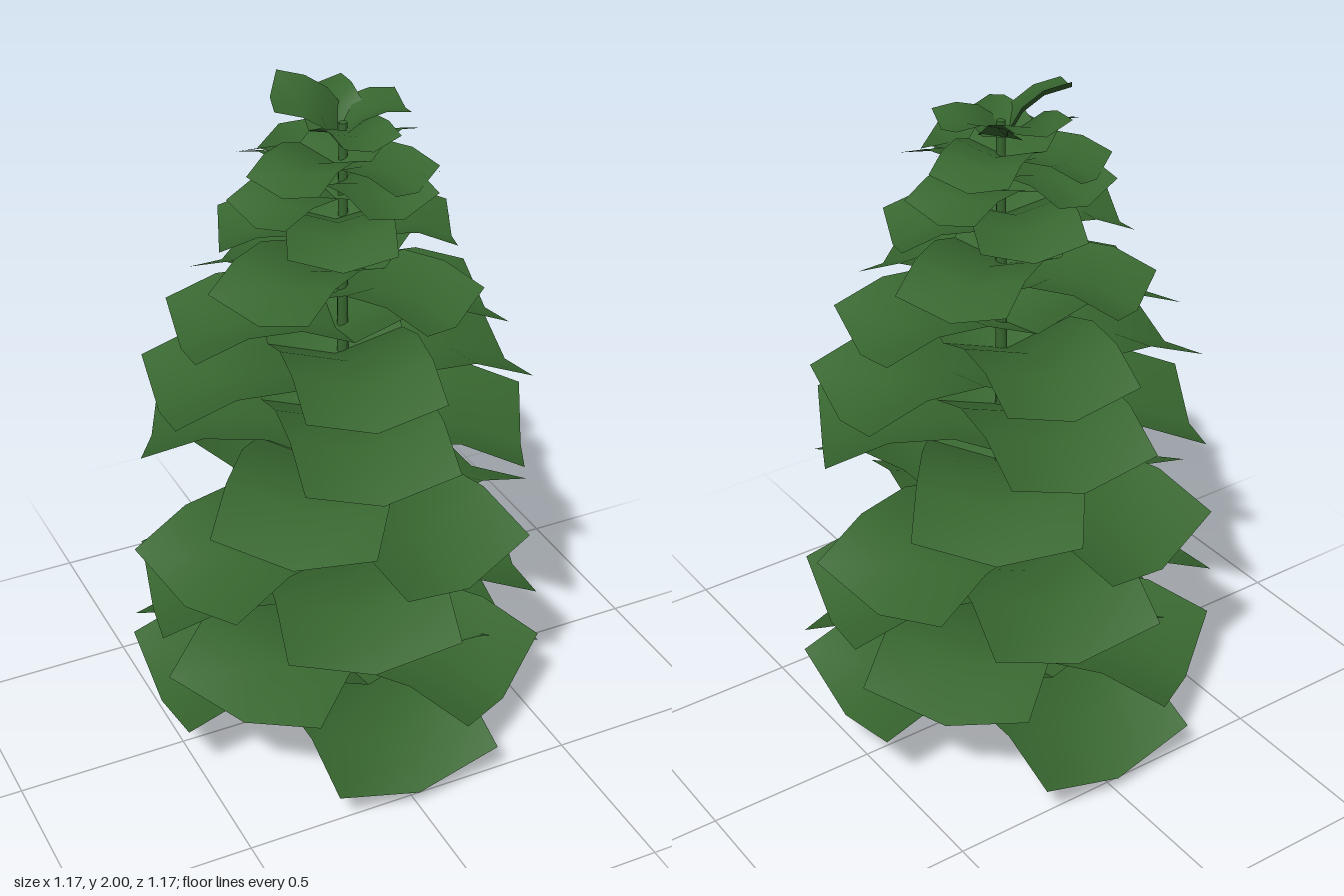
import * as THREE from 'three';

const foliage = new THREE.MeshStandardMaterial({ color: 0x37662f, side: THREE.DoubleSide });
foliage.name = 'pine green';

// One frond: arched along its length, with a shallow V across its width
function frondGeometry(length, width) {
  const geo = new THREE.PlaneGeometry(width, length, 2, 3);
  geo.rotateX(-Math.PI / 2);
  geo.translate(0, 0, length / 2);
  const pos = geo.attributes.position;
  const rise = length * 0.13;
  for (let i = 0; i < pos.count; i++) {
    const t = pos.getZ(i) / length;
    const arch = t > 0.1 && t < 0.9 ? rise : 0;
    const fold = Math.abs(pos.getX(i)) * 0.3;
    pos.setY(i, arch + fold);
  }
  geo.computeVertexNormals();
  return geo;
}

// Azimuth in degrees from +z towards +x; tilt lifts the tip, roll lifts one edge
function addFrond(parent, name, length, width, azimuth, at, tilt = 0, roll = 0) {
  const frond = new THREE.Mesh(frondGeometry(length, width), foliage);
  frond.name = name;
  const rad = THREE.MathUtils.degToRad;
  frond.rotation.set(-rad(tilt), rad(azimuth), rad(roll), 'YXZ');
  frond.position.set(...at);
  parent.add(frond);
}

export function createModel() {
  const tree = new THREE.Group();
  tree.name = 'coniferTree';

  // Trunk
  const trunk = new THREE.Mesh(new THREE.CylinderGeometry(0.012, 0.025, 1.88, 8), foliage);
  trunk.name = 'trunk';
  trunk.position.set(0.024, 0.94, -0.005);
  tree.add(trunk);

  // Whorls: azimuth and height of each of two crossing pairs, frond length and width
  const whorls = [
    [0, 0.05, 87, 0.15, 0.55, 0.5],
    [36, 0.2, -53, 0.3, 0.55, 0.48],
    [76, 0.41, -14, 0.5, 0.54, 0.48],
    [105, 0.6, 16, 0.7, 0.545, 0.46],
    [-38, 0.83, 62, 0.92, 0.52, 0.45],
    [-11, 1.02, 81, 1.1, 0.5, 0.42],
    [-11, 1.2, 80, 1.28, 0.43, 0.38],
    [33, 1.39, 122, 1.46, 0.37, 0.31],
    [68, 1.55, 158, 1.61, 0.31, 0.28],
    [105, 1.67, 195, 1.71, 0.27, 0.24],
    [32, 1.75, 122, 1.77, 0.25, 0.22],
  ];
  whorls.forEach(([azimuth1, y1, azimuth2, y2, length, width], i) => {
    const whorl = new THREE.Group();
    whorl.name = `whorl${i + 1}`;
    for (const turn of [0, 180]) {
      addFrond(whorl, 'lowerFrond', length, width, azimuth1 + turn, [0, y1, 0]);
      addFrond(whorl, 'upperFrond', length, width, azimuth2 + turn, [0, y2, 0]);
    }
    tree.add(whorl);
  });

  // Raised young fronds at the tip
  const crown = new THREE.Group();
  crown.name = 'crown';
  const shoots = [[255, 0.21, 33, -20], [178, 0.19, 20, 0], [78, 0.19, 16, 0], [5, 0.18, 5, 0]];
  for (const [azimuth, length, tilt, roll] of shoots) {
    addFrond(crown, 'shoot', length, 0.17, azimuth, [0.02, 1.84, -0.03], tilt, roll);
  }
  tree.add(crown);

  return tree;
}
